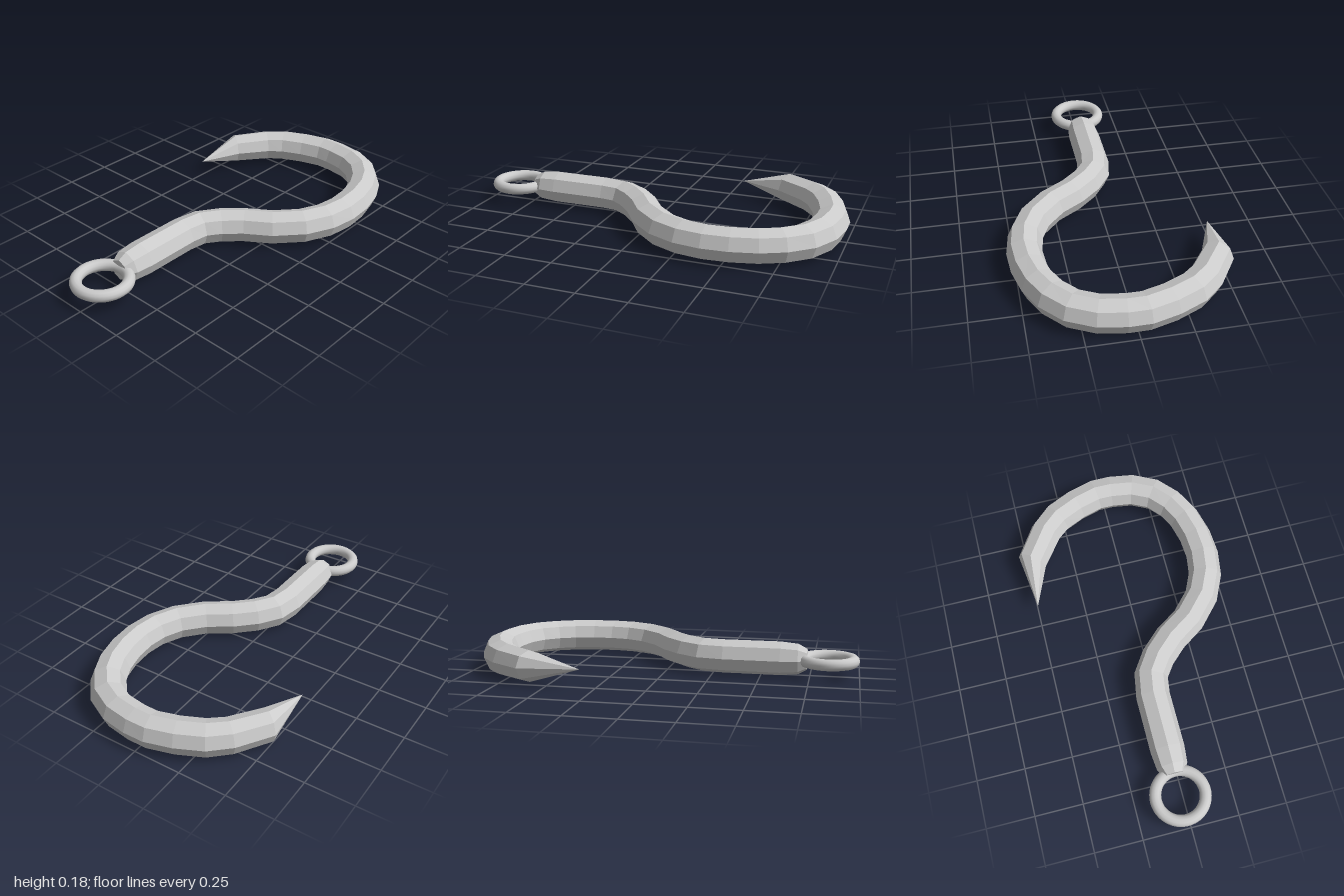
import * as THREE from 'three';

const R = 0.0885;   // bar radius, also the height of its centre line
const SIDES = 8;

// Centre line of the hook in plan: [x, z, radius factor], from the shank end to the point
const PATH = [
  [-0.02, 0.735, 0], [-0.02, 0.735, 0.62], [-0.02, 0.69, 0.9], [-0.02, 0.6, 1],
  [-0.02, 0.31, 1], [-0.002, 0.2, 1], [0.06, 0.11, 1], [0.15, 0.025, 1],
  [0.27, -0.055, 1], [0.375, -0.17, 1], [0.43, -0.29, 1], [0.448, -0.41, 1],
  [0.44, -0.53, 1], [0.41, -0.65, 1], [0.36, -0.75, 1], [0.28, -0.84, 1],
  [0.17, -0.895, 1], [0.05, -0.914, 1], [-0.04, -0.914, 1], [-0.16, -0.88, 1],
  [-0.28, -0.825, 1], [-0.36, -0.755, 0.97], [-0.47, -0.597, 0.91], [-0.495, -0.33, 0],
];

// Sweep an octagon along the centre line, closing to a single point at both ends
function hookGeometry() {
  const last = PATH.length - 1;
  const rings = PATH.map(([x, z, f], i) => {
    const a = PATH[Math.max(i - 1, 0)];
    const b = PATH[i >= last - 1 ? i : i + 1];   // the barb's base stays square to the bar
    const t = new THREE.Vector2(b[0] - a[0], b[1] - a[1]).normalize();
    return Array.from({ length: SIDES }, (_, j) => {
      const ang = (j / SIDES) * Math.PI * 2;
      const c = Math.cos(ang) * R * f;
      return [x + t.y * c, R + Math.sin(ang) * R * f, z - t.x * c];
    });
  });
  const pos = [];
  for (let i = 0; i < last; i++) {
    for (let j = 0; j < SIDES; j++) {
      const k = (j + 1) % SIDES;
      const a = rings[i][j], b = rings[i][k], c = rings[i + 1][k], d = rings[i + 1][j];
      if (PATH[i][2] > 0) pos.push(...a, ...b, ...(PATH[i + 1][2] > 0 ? c : d));
      if (PATH[i + 1][2] > 0) pos.push(...a, ...c, ...d);
    }
  }
  const geo = new THREE.BufferGeometry();
  geo.setAttribute('position', new THREE.Float32BufferAttribute(pos, 3));
  geo.computeVertexNormals();
  return geo;
}

export function createModel() {
  const group = new THREE.Group();
  group.name = 'hookWithEyelet';

  // Faceted hook with pointed barb
  const hook = new THREE.Mesh(
    hookGeometry(),
    new THREE.MeshStandardMaterial({ color: 0xcccccc, flatShading: true }),
  );
  hook.name = 'hook';
  group.add(hook);

  // Smooth ring lying flat at the shank end
  const ring = new THREE.Mesh(
    new THREE.TorusGeometry(0.126, 0.03, 12, 48),
    new THREE.MeshStandardMaterial({ color: 0xcccccc }),
  );
  ring.name = 'eyeletRing';
  ring.rotation.x = Math.PI / 2;
  ring.position.set(-0.018, R, 0.843);
  group.add(ring);

  return group;
}
